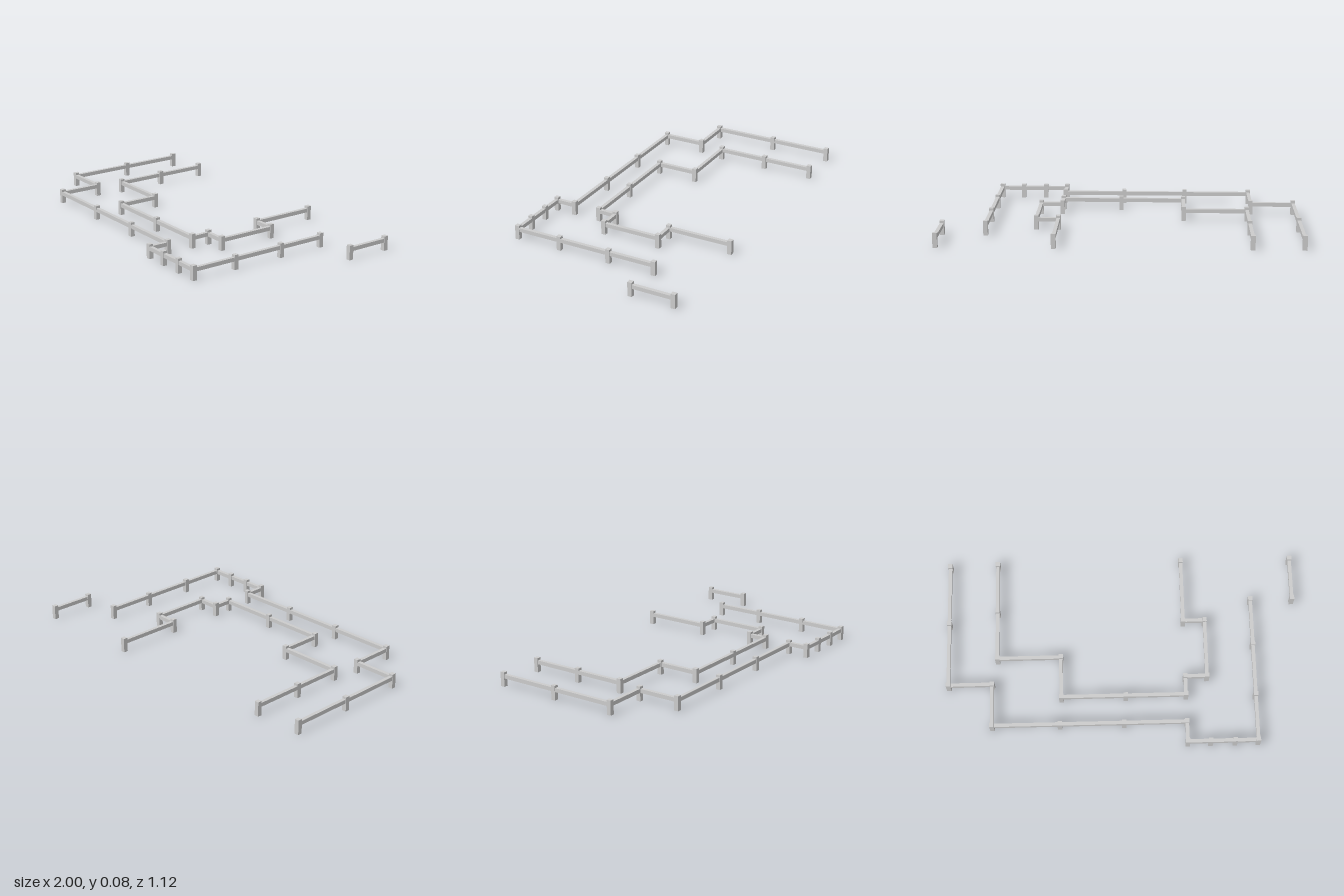
import * as THREE from 'three';

const POST = 0.025, POST_H = 0.082;
const RAIL_W = 0.02, RAIL_H = 0.022, RAIL_Y = 0.058;

// Each run is a list of post positions [x, z], joined by rails
const runs = {
  outerFence: [
    [-0.987, -0.54], [-0.987, -0.184], [-0.987, 0.187], [-0.74, 0.187], [-0.74, 0.43],
    [-0.36, 0.43], [0, 0.43], [0.353, 0.43], [0.353, 0.546], [0.481, 0.546],
    [0.617, 0.546], [0.746, 0.546], [0.746, 0.28], [0.746, 0.024 * -1], [0.746, -0.298],
  ],
  innerFence: [
    [-0.711, -0.546], [-0.711, -0.254], [-0.711, 0.033], [-0.35, 0.033], [-0.35, 0.27],
    [0.013, 0.27], [0.353, 0.27], [0.353, 0.163], [0.476, 0.163], [0.476, -0.174],
    [0.353, -0.174], [0.353, -0.546],
  ],
  detachedFence: [[0.987, -0.546], [0.987, -0.298]],
};

export function createModel() {
  const model = new THREE.Group();
  model.name = 'fence';
  const material = new THREE.MeshStandardMaterial({ color: 0xcccccc });
  const postGeometry = new THREE.BoxGeometry(POST, POST_H, POST);

  for (const [name, points] of Object.entries(runs)) {
    const run = new THREE.Group();
    run.name = name;

    points.forEach(([x, z], i) => {
      // Square post
      const post = new THREE.Mesh(postGeometry, material);
      post.name = 'post';
      post.position.set(x, POST_H / 2, z);
      run.add(post);
      if (i === 0) return;

      // Rail back to the previous post
      const [px, pz] = points[i - 1];
      const length = Math.hypot(x - px, z - pz);
      const rail = new THREE.Mesh(new THREE.BoxGeometry(RAIL_W, RAIL_H, length), material);
      rail.name = 'rail';
      rail.position.set((x + px) / 2, RAIL_Y, (z + pz) / 2);
      rail.rotation.y = Math.atan2(x - px, z - pz);
      run.add(rail);
    });
    model.add(run);
  }
  return model;
}
